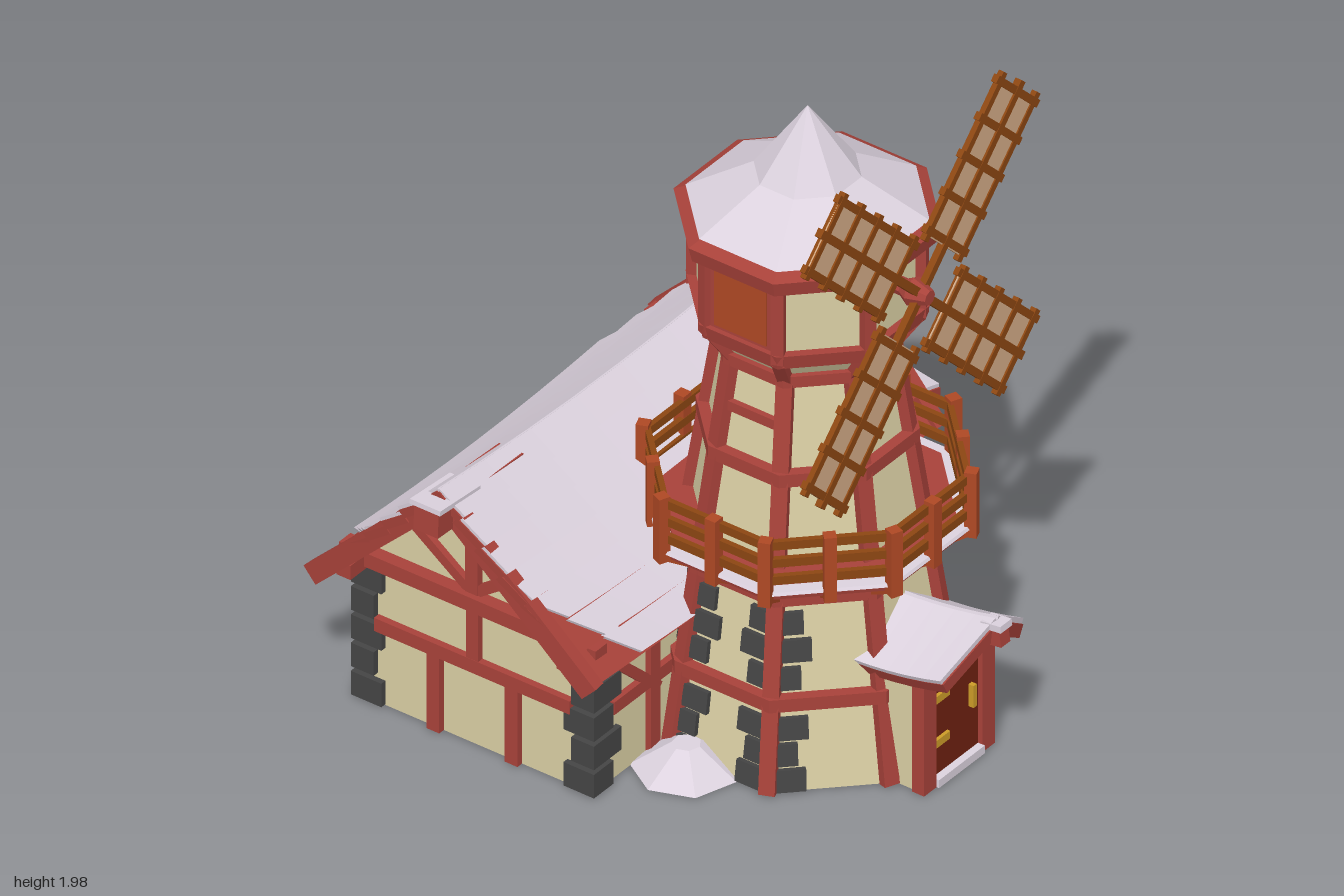
import * as THREE from 'three';

const M = {};
for (const [name, color] of Object.entries({
  plaster: 0xdacfa4, redTimber: 0xa8423a, doorWood: 0x6e2110, snow: 0xdcd2de, stone: 0x454545,
  brownWood: 0x8c4612, orangeWood: 0xae4824, sailCloth: 0xd2aa86, brass: 0xcc9c28,
})) M[name] = new THREE.MeshStandardMaterial({ name, color });

const vec = (x, y, z) => new THREE.Vector3(x, y, z);

// Adds a faceted mesh
function add(parent, name, geo, mat, x = 0, y = 0, z = 0) {
  const g = geo.index ? geo.toNonIndexed() : geo;
  g.computeVertexNormals();
  const mesh = new THREE.Mesh(g, mat);
  mesh.name = name;
  mesh.position.set(x, y, z);
  parent.add(mesh);
  return mesh;
}
const box = (p, name, mat, w, h, d, x, y, z) => add(p, name, new THREE.BoxGeometry(w, h, d), mat, x, y, z);

// Beam from a to b; up sets the direction of its height
function beam(p, name, mat, a, b, w, h = w, up = vec(0, 1, 0)) {
  const m = add(p, name, new THREE.BoxGeometry(w, h, a.distanceTo(b)), mat);
  m.up.copy(up);
  m.position.copy(a).lerp(b, 0.5);
  const eye = new THREE.Matrix4().lookAt(b, a, up);
  m.quaternion.setFromRotationMatrix(eye);
  return m;
}
function group(parent, name, x = 0, y = 0, z = 0, ry = 0) {
  const g = new THREE.Group();
  g.name = name;
  g.position.set(x, y, z);
  g.rotation.y = ry;
  parent.add(g);
  return g;
}
// Box bent by fn(u 0..1, v 0..1, t -1..1)
function warpBox(segs, fn) {
  const g = new THREE.BoxGeometry(1, 1, 1, 1, 1, segs), p = g.attributes.position;
  for (let i = 0; i < p.count; i++)
    p.setXYZ(i, ...fn(p.getX(i) + 0.5, p.getY(i) + 0.5, p.getZ(i) * 2));
  return g;
}
// Octagonal drum with flats facing the axes; sizes are half widths across flats
const C8 = Math.cos(Math.PI / 8), T8 = Math.tan(Math.PI / 8);
function octagon(p, name, mat, aTop, aBottom, y0, y1) {
  const g = new THREE.CylinderGeometry(aTop / C8, aBottom / C8, y1 - y0, 8).rotateY(Math.PI / 8);
  return add(p, name, g, mat, 0, (y0 + y1) / 2, 0);
}
const corner = (k, y, a) => {
  const t = (k + 0.5) * Math.PI / 4;
  return vec(Math.sin(t) * a / C8, y, Math.cos(t) * a / C8);
};
function prism(points, depth) {
  return new THREE.ExtrudeGeometry(new THREE.Shape(points.map(q => new THREE.Vector2(...q))), { depth, bevelEnabled: false });
}
// Hinges and handle of a door facing +z
function doorMetal(p, half, z) {
  for (const y of [0.13, 0.27]) box(p, 'hinge', M.brass, 0.06, 0.024, 0.012, -half + 0.035, y, z);
  box(p, 'handle', M.brass, 0.014, 0.07, 0.025, half - 0.035, 0.2, z);
}

function buildHouse(root) {
  const house = group(root, 'house', -0.39, 0, 0);
  const W = 0.38, D = 0.65;
  add(house, 'houseWalls', prism([[-W, 0], [W, 0], [W, 0.43], [0, 0.81], [-W, 0.43]], 2 * D), M.plaster, 0, 0, -D);

  // Corner stones
  for (const sx of [-1, 1]) for (const sz of [-1, 1]) for (let i = 0; i < 5; i++) {
    const a = i % 2 ? 0.075 : 0.1, b = i % 2 ? 0.12 : 0.085;
    box(house, 'cornerStone', M.stone, a, 0.075, b, sx * (W + 0.018 - a / 2), 0.04 + i * 0.09, sz * (D + 0.018 - b / 2));
  }
  // Gable timbers at both ends
  for (const end of [0, 1]) {
    const f = group(house, end ? 'backTimbers' : 'frontTimbers', 0, 0, 0, end * Math.PI), z = D + 0.005, R = M.redTimber;
    box(f, 'tieBeam', R, 0.84, 0.045, 0.05, 0, 0.47, z + 0.01);
    box(f, 'kingPost', R, 0.04, 0.36, 0.035, 0, 0.66, z);
    for (const s of [-1, 1]) {
      beam(f, 'gableBrace', R, vec(0, 0.49, z), vec(s * 0.22, 0.65, z), 0.03);
      box(f, 'wallPost', R, 0.042, 0.25, 0.03, s * (end ? 0.2 : 0.128), 0.125, z);
      beam(f, 'bargeBoard', R, vec(0, 0.865, 0.79), vec(s * 0.455, 0.415, 0.75), 0.04, 0.06);
      beam(f, 'roofPurlin', R, vec(s * 0.36, 0.46, 0.6), vec(s * 0.36, 0.46, 0.75), 0.045);
      if (end) box(f, 'midRail', R, 0.2, 0.04, 0.03, s * 0.23, 0.26, z);
    }
    if (!end) {
      box(f, 'midRail', R, 0.64, 0.042, 0.032, 0, 0.26, z);
      box(f, 'upperPost', R, 0.04, 0.18, 0.03, 0, 0.37, z);
    }
    beam(f, 'ridgeBeam', R, vec(0, 0.82, 0.5), vec(0, 0.835, 0.87), 0.08);
    beam(f, 'ridgeBeamSnow', M.snow, vec(0, 0.866, 0.7), vec(0, 0.88, 0.875), 0.1, 0.015);
  }
  // Long side timbers
  for (const s of [-1, 1]) {
    const x = s * (W + 0.004);
    box(house, 'sidePlate', M.redTimber, 0.035, 0.045, 1.3, x, 0.42, 0);
    box(house, 'sideRail', M.redTimber, 0.03, 0.04, 1.16, x, 0.24, 0);
    for (const z of [-0.4, 0, 0.4]) box(house, 'sidePost', M.redTimber, 0.03, 0.42, 0.04, x, 0.21, z);
    for (const e of [-1, 1]) beam(house, 'sideBrace', M.redTimber, vec(x, 0.41, e * 0.6), vec(x, 0.2, e * 0.38), 0.03);
  }
  // Sagging roof: overlapping red boards, each with a snow layer
  const roof = group(house, 'roof', 0, 0, 0.02), N = 7;
  const row = (s, i, v0, v1, snow) => warpBox(8, (u, v, t) => {
    const k = (i + u * 1.04) / N, n = v0 + (v1 - v0) * v + 0.016 * u - 0.022;
    const half = 0.8 - 0.055 * k - (snow ? 0.004 + Math.max(0, k - 0.55) * 0.45 : 0);
    return [s * (0.455 * k + 0.72 * n), 0.865 - 0.455 * k + 0.69 * n + 0.04 * t * t * (1 - 0.5 * k), s * t * half];
  });
  for (const s of [-1, 1]) for (let i = 0; i < N; i++) {
    add(roof, 'roofBoard', row(s, i, -0.01, 0.016, false), M.redTimber);
    add(roof, 'roofSnow', row(s, i, 0.016, 0.026, true), M.snow);
  }
  // Back door in an arched frame
  const back = group(house, 'backDoor', 0, 0, -D, Math.PI);
  const arch = r => {
    const sh = new THREE.Shape();
    sh.moveTo(-r, 0);
    sh.lineTo(r, 0);
    sh.lineTo(r, 0.25);
    sh.absarc(0, 0.25, r, 0, Math.PI, false);
    return sh;
  };
  const frame = arch(0.14);
  frame.holes.push(new THREE.Path(arch(0.1).getPoints(8)));
  add(back, 'doorFrame', new THREE.ExtrudeGeometry(frame, { depth: 0.035, bevelEnabled: false, curveSegments: 8 }), M.redTimber);
  add(back, 'doorLeaf', new THREE.ExtrudeGeometry(arch(0.102), { depth: 0.012, bevelEnabled: false, curveSegments: 8 }), M.doorWood);
  doorMetal(back, 0.1, 0.016);
  box(back, 'doorStep', M.snow, 0.26, 0.025, 0.07, 0, 0.0125, 0.035);

  // Bowed canopy over the back door
  const canopy = group(house, 'canopy', 0, 0, -D, Math.PI / 2);
  const strip = (i, v0, v1, trim) => warpBox(8, (u, v, t) => {
    const k = (i + u * 1.05) / 3, n = v0 + (v1 - v0) * v + 0.012 * u;
    return [0.25 * k, 0.5 - 0.1 * k + n + 0.035 * (1 - t * t), t * (0.34 + 0.012 * k - trim)];
  });
  for (let i = 0; i < 3; i++) {
    add(canopy, 'canopyBoard', strip(i, -0.015, 0.008, 0), M.redTimber);
    add(canopy, 'canopySnow', strip(i, 0.008, 0.02, 0.004), M.snow);
  }
  for (const s of [-1, 1]) {
    beam(canopy, 'canopyBrace', M.redTimber, vec(0, 0.34, s * 0.29), vec(0.24, 0.42, s * 0.29), 0.03);
    beam(canopy, 'canopyRafter', M.redTimber, vec(0, 0.49, s * 0.29), vec(0.25, 0.4, s * 0.29), 0.03);
  }
}

function buildTower(root) {
  const tower = group(root, 'tower', 0.195, 0, -0.015), R = M.redTimber;
  const half = y => 0.385 - 0.145 * y;
  octagon(tower, 'towerWall', M.plaster, half(1.2), half(0), 0, 1.2);
  for (const [y, h] of [[0.265, 0.04], [0.57, 0.04], [0.915, 0.04], [1.2, 0.035]])
    octagon(tower, 'towerBelt', R, half(y) + 0.028, half(y) + 0.028, y - h / 2, y + h / 2);
  octagon(tower, 'flare', M.plaster, 0.275, 0.212, 1.2, 1.3);
  octagon(tower, 'headWall', M.plaster, 0.28, 0.28, 1.3, 1.56);
  octagon(tower, 'headBelt', R, 0.305, 0.295, 1.285, 1.33);
  octagon(tower, 'eaves', R, 0.335, 0.325, 1.54, 1.585);
  octagon(tower, 'roofEdge', R, 0.24, 0.335, 1.585, 1.63);
  octagon(tower, 'lowerRoofSnow', M.snow, 0.135, 0.305, 1.603, 1.71);
  octagon(tower, 'upperRoofSnow', M.snow, 0.001, 0.135, 1.71, 1.912);

  for (let k = 0; k < 8; k++) {
    const out = corner(k, 0, 1).normalize();
    beam(tower, 'towerPost', R, corner(k, 0, half(0)), corner(k, 1.2, half(1.2)), 0.045, 0.04, out);
    beam(tower, 'flareRib', R, corner(k, 1.2, 0.215), corner(k, 1.3, 0.278), 0.035, 0.035, out);
    beam(tower, 'headPost', R, corner(k, 1.3, 0.283), corner(k, 1.56, 0.283), 0.035, 0.035, out);
    const face = group(tower, 'towerFace', 0, 0, 0, k * Math.PI / 4);
    if (k % 2 === 0) box(face, 'towerRail', R, 0.19, 0.03, 0.03, 0, 1.06, half(1.06));
    if (k % 4 === 0) {
      box(face, 'windowFrame', R, 0.205, 0.23, 0.02, 0, 1.435, 0.28);
      box(face, 'windowShutter', M.orangeWood, 0.17, 0.185, 0.008, 0, 1.435, 0.292);
    }
    // Stones on both sides of some posts
    const sides = { 0: [-1, 1], 1: [-1], 7: [1], 3: [1], 4: [-1] }[k] || [];
    for (const s of sides) for (const [i, y] of [0.035, 0.11, 0.185, 0.33, 0.41, 0.49].entries()) {
      const w = i % 2 ? 0.055 : 0.08;
      box(face, 'towerStone', M.stone, w, 0.065, 0.03, s * (half(y) * T8 - 0.018 - w / 2), y, half(y)).rotation.x = -0.144;
    }
  }
  // Balcony
  const balcony = group(tower, 'balcony');
  octagon(balcony, 'balconyFloor', R, 0.405, 0.4, 0.625, 0.645);
  octagon(balcony, 'balconySnow', M.snow, 0.41, 0.415, 0.645, 0.653);
  octagon(balcony, 'balconyDeck', R, 0.375, 0.375, 0.65, 0.659);
  for (let k = 0; k < 8; k++) {
    for (const y of [0.69, 0.745, 0.8]) beam(balcony, 'rail', M.brownWood, corner(k, y, 0.4), corner(k + 1, y, 0.4), 0.016, 0.026);
    for (const mid of [0, 1]) {
      const at = (y, a) => mid ? corner(k, y, a).lerp(corner(k + 1, y, a), 0.5) : corner(k, y, a);
      const out = at(0, 1).normalize();
      beam(balcony, 'railPost', M.orangeWood, at(0.62, 0.41), at(0.825, 0.41), 0.034, 0.034, out);
      beam(balcony, 'bracket', M.orangeWood, at(0.575, 0.31), at(0.635, 0.4), 0.03);
    }
  }
  // Sails
  const sails = group(tower, 'sails', 0.368, 1.465, 0);
  add(sails, 'shaft', new THREE.CylinderGeometry(0.025, 0.025, 0.14, 8).rotateZ(Math.PI / 2), R, -0.06);
  add(sails, 'hub', new THREE.CylinderGeometry(0.022, 0.042, 0.055, 8).rotateZ(-Math.PI / 2), R, 0.005);
  add(sails, 'hubBack', new THREE.CylinderGeometry(0.042, 0.025, 0.03, 8).rotateZ(-Math.PI / 2), R, -0.037);
  for (let k = 0; k < 4; k++) {
    const b = group(sails, 'blade');
    b.rotation.x = Math.PI / 4 + k * Math.PI / 2;
    box(b, 'spar', M.brownWood, 0.02, 0.62, 0.024, 0, 0.31, 0);
    box(b, 'sailCloth', M.sailCloth, 0.004, 0.46, 0.2, 0.002, 0.37, 0);
    box(b, 'sailBack', M.brownWood, 0.004, 0.46, 0.2, -0.003, 0.37, 0);
    for (const s of [-1, 1]) box(b, 'sailEdge', M.brownWood, 0.016, 0.49, 0.022, 0, 0.37, s * 0.102);
    for (let i = 0; i < 5; i++) box(b, 'sailBar', M.brownWood, 0.018, 0.022, 0.25, 0, 0.155 + i * 0.1085, 0);
  }
}

function buildPorch(root) {
  // Local +z is the way out of the door
  const porch = group(root, 'porch', 0, 0, -0.015, Math.PI / 2), R = M.redTimber;
  add(porch, 'porchWalls', prism([[-0.145, 0], [0.145, 0], [0.145, 0.36], [0, 0.47], [-0.145, 0.36]], 0.24), M.plaster, 0, 0, 0.43);
  add(porch, 'doorLeaf', prism([[-0.1, 0], [0.1, 0], [0.1, 0.34], [0, 0.42], [-0.1, 0.34]], 0.008), M.doorWood, 0, 0, 0.67);
  doorMetal(porch, 0.1, 0.682);
  box(porch, 'doorStep', M.snow, 0.2, 0.025, 0.03, 0, 0.0125, 0.685);
  const slab = (s, v0, v1, trim) => warpBox(6, (u, v, t) => {
    const e = (s * t + 1) / 2, n = v0 + (v1 - v0) * v;
    return [s * (0.175 * u + 0.5 * n), 0.475 - 0.125 * u + n + 0.05 * e * e, 0.42 + e * (0.4 - 0.05 * u - trim)];
  });
  for (const s of [-1, 1]) {
    box(porch, 'doorPost', R, 0.055, 0.37, 0.04, s * 0.127, 0.185, 0.672);
    beam(porch, 'doorHead', R, vec(0, 0.44, 0.672), vec(s * 0.15, 0.345, 0.672), 0.04, 0.04);
    add(porch, 'porchRoof', slab(s, -0.035, 0, 0), R);
    add(porch, 'porchRoofSnow', slab(s, 0, 0.014, 0.005), M.snow);
  }
  beam(porch, 'porchRidgeBeam', R, vec(0, 0.44, 0.5), vec(0, 0.488, 0.84), 0.04, 0.05);
  beam(porch, 'porchRidgeSnow', M.snow, vec(0, 0.515, 0.78), vec(0, 0.522, 0.845), 0.05, 0.02);
}

export function createModel() {
  const root = new THREE.Group();
  root.name = 'windmillHouse';
  buildHouse(root);
  buildTower(root);
  buildPorch(root);
  // Snow drifts in the nooks between house and tower
  for (const z of [-0.43, 0.4]) {
    const drift = add(root, 'snowDrift', new THREE.CylinderGeometry(0.04, 0.15, 0.075, 7), M.snow, 0.11, 0.0375, z);
    drift.rotation.y = z * 2;
  }
  return root;
}
